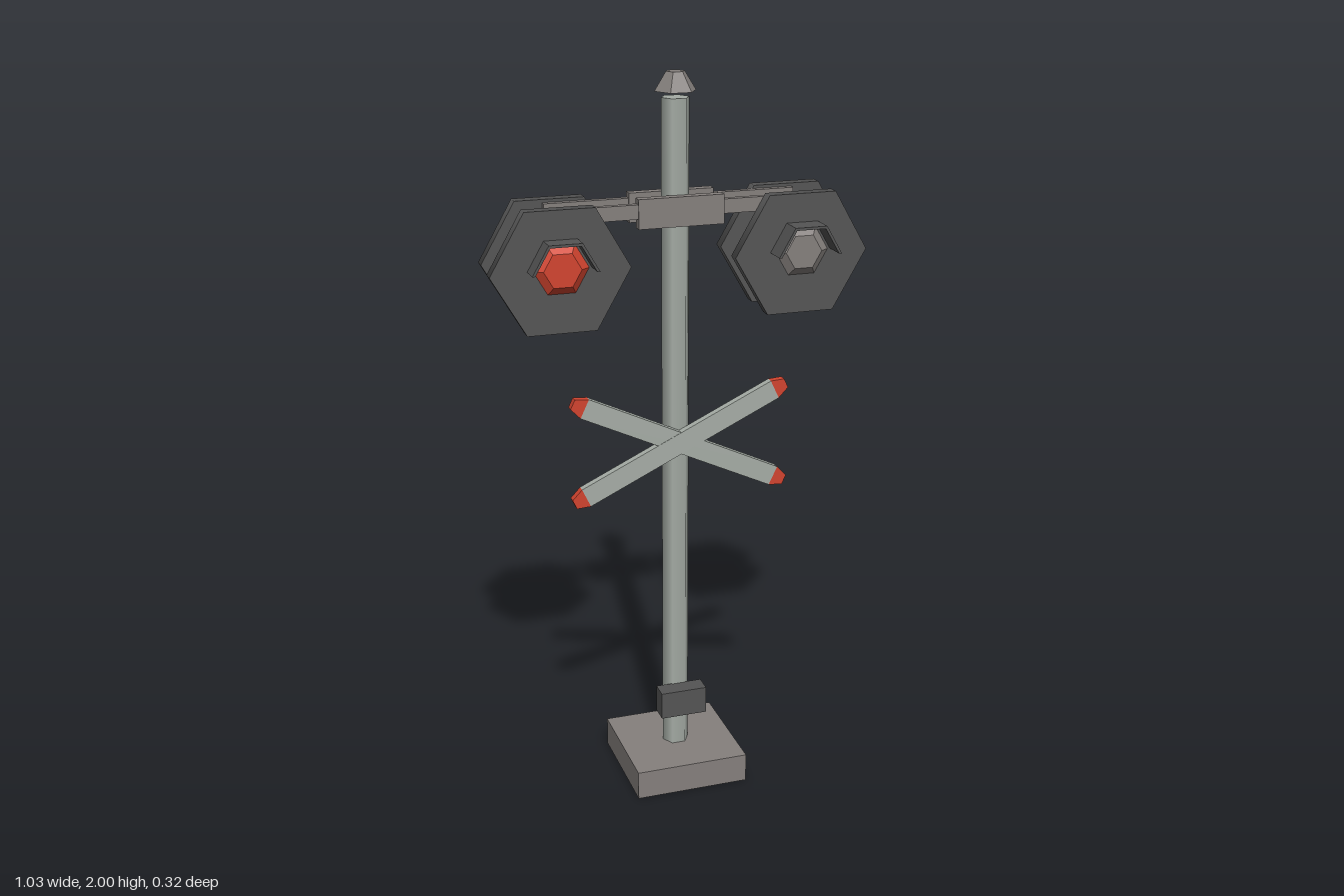
import * as THREE from 'three';

const mat = (name, color, side = THREE.FrontSide) => {
  const m = new THREE.MeshStandardMaterial({ color, side });
  m.name = name;
  return m;
};

export function createModel() {
  const stone = mat('warm grey', 0x85807d, THREE.DoubleSide);
  const paint = mat('pale grey', 0xa6ada6);
  const dark = mat('dark grey', 0x555555);
  const red = mat('red', 0xd2442f);

  const model = new THREE.Group();
  model.name = 'crossingSignal';

  const add = (parent, name, geo, material, x = 0, y = 0, z = 0) => {
    const mesh = new THREE.Mesh(geo, material);
    mesh.name = name;
    mesh.position.set(x, y, z);
    parent.add(mesh);
    return mesh;
  };
  // box given by its lower and upper corners
  const box = (parent, name, material, a, b) => add(parent, name,
    new THREE.BoxGeometry(b[0] - a[0], b[1] - a[1], b[2] - a[2]), material,
    (a[0] + b[0]) / 2, (a[1] + b[1]) / 2, (a[2] + b[2]) / 2);
  // six-sided cylinder with corners on the x axis
  const hex = (rTop, rBottom, h) => new THREE.CylinderGeometry(rTop, rBottom, h, 6, 1, false, Math.PI / 6);
  const flat = (geo) => {
    const g = geo.toNonIndexed();
    g.computeVertexNormals();
    return g;
  };
  const plate = (pts, depth) => new THREE.ExtrudeGeometry(
    new THREE.Shape(pts.map(([x, y]) => new THREE.Vector2(x, y))), { depth, bevelEnabled: false });

  // hollow base, open underneath: drop the bottom face (fourth group of six indices)
  const baseGeo = new THREE.BoxGeometry(0.322, 0.082, 0.322);
  const index = Array.from(baseGeo.index.array);
  index.splice(18, 6);
  baseGeo.setIndex(index);
  baseGeo.clearGroups();
  add(model, 'base', baseGeo, stone, 0, 0.041, 0);

  // post, finial and control box
  add(model, 'post', hex(0.038, 0.038, 1.859), paint, 0, 1.0055, 0);
  add(model, 'finial', flat(hex(0.025, 0.056, 0.049)), stone, 0, 1.9755, 0);
  box(model, 'controlBox', dark, [-0.066, 0.197, 0.03], [0.066, 0.275, 0.082]);

  // crossed boards with red tapered tips
  const boards = new THREE.Group();
  boards.name = 'crossedBoards';
  boards.position.set(0, 1.015, 0.032);
  model.add(boards);
  const w = 0.028, s = 0.296, tip = 0.332, tw = 0.014;
  [-1, 1].forEach((k) => {
    const board = new THREE.Group();
    board.name = k < 0 ? 'fallingBoard' : 'risingBoard';
    board.rotation.z = k * 0.44;
    board.position.z = k * 0.0005;
    boards.add(board);
    add(board, 'board', plate([[-s, -w], [s, -w], [s, w], [-s, w]], 0.022), paint);
    [0, Math.PI].forEach((turn) => {
      const end = add(board, 'boardTip', plate([[s, -w], [tip, -tw], [tip, tw], [s, w]], 0.022), red);
      end.rotation.z = turn;
    });
  });

  // half-hexagon hood over a lamp
  const hood = (depth) => {
    const ring = (r) => [0, 1, 2, 3].map((i) => [r * Math.cos(i * Math.PI / 3), r * Math.sin(i * Math.PI / 3)]);
    return plate([...ring(0.088), ...ring(0.08).reverse()], depth);
  };

  // one lamp: hexagonal backing disc, lens and hood
  const lamp = (parent, name, x, lensMat, hoodEnd) => {
    const g = new THREE.Group();
    g.name = name;
    g.position.x = x;
    parent.add(g);
    add(g, 'backingDisc', hex(0.185, 0.185, 0.034).rotateX(Math.PI / 2), dark, 0, 1.523, 0.068);
    add(g, 'lens', flat(hex(0.05, 0.08, 0.022).rotateX(Math.PI / 2)), lensMat, 0, 1.531, 0.091);
    add(g, 'hood', hood(hoodEnd - 0.08), dark, 0, 1.531, 0.08);
  };

  // the same signal bar on the front and, turned half round, on the back
  ['frontSignals', 'backSignals'].forEach((name, i) => {
    const bar = new THREE.Group();
    bar.name = name;
    bar.rotation.y = i * Math.PI;
    model.add(bar);
    box(bar, 'bracket', stone, [-0.116, 1.611, 0.03], [0.116, 1.689, 0.056]);
    box(bar, 'crossArm', stone, [-0.343, 1.637, 0.034], [0.343, 1.675, 0.052]);
    lamp(bar, 'litLamp', -0.33, red, 0.139);
    lamp(bar, 'unlitLamp', 0.323, stone, 0.149);
  });

  return model;
}
